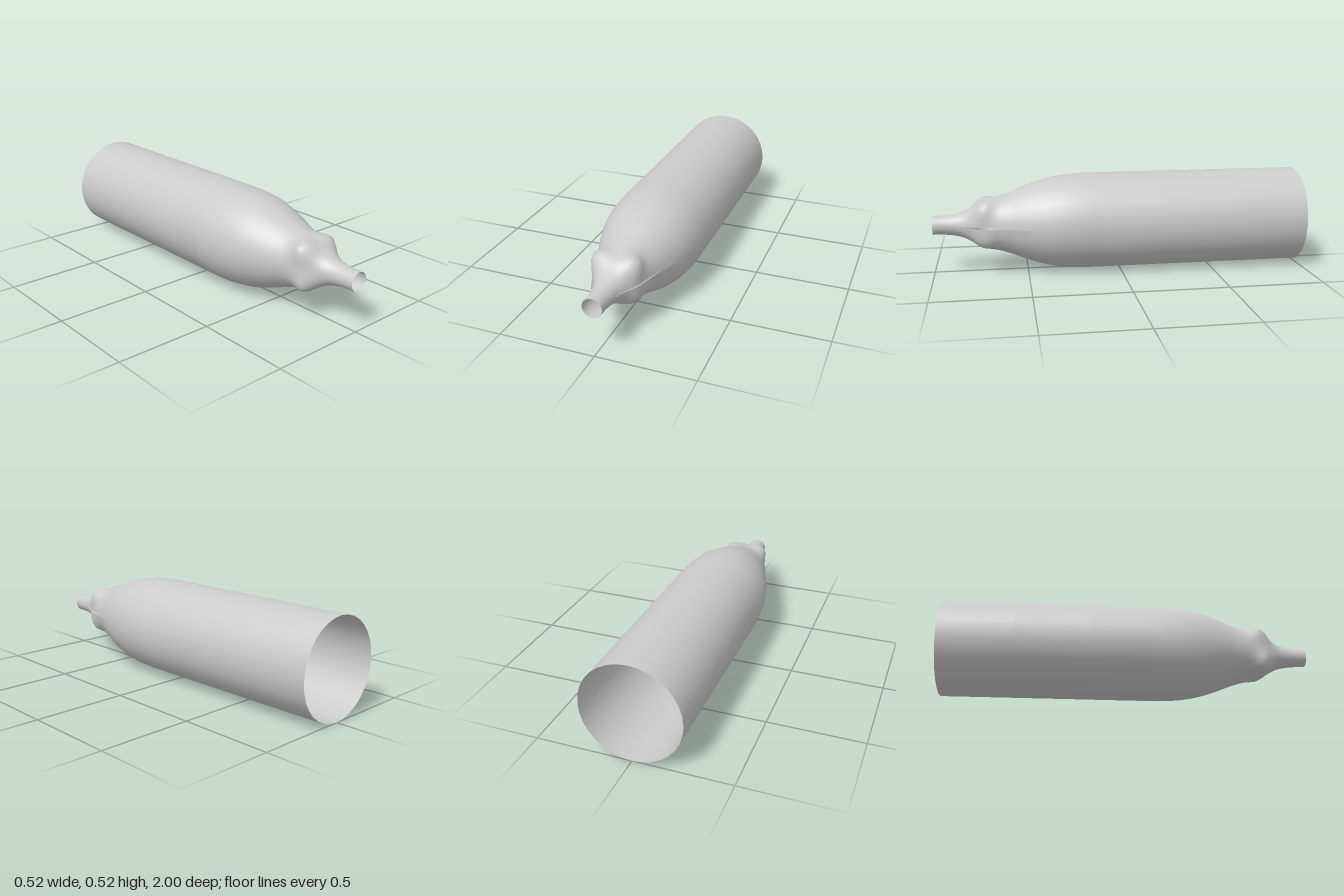
import * as THREE from 'three';
import { mergeVertices } from 'three/addons/utils/BufferGeometryUtils.js';

const SEGMENTS = 32;
const bell = (d, width) => Math.exp(-((d / width) ** 2));

// [z, radius] along the body, from the open back to the mouth
const PROFILE = [
  [0.12, 0.26], [0.2, 0.259], [0.3, 0.252], [0.4, 0.234], [0.5, 0.202], [0.6, 0.163],
  [0.7, 0.132], [0.76, 0.113], [0.8, 0.09], [0.85, 0.067], [0.9, 0.056], [0.95, 0.051], [1, 0.05],
];

// four soft shoulder lumps around the neck: angle in degrees, z, height
const LUMPS = [
  [48, 0.73, 0.036], [133, 0.73, 0.042], [220, 0.75, 0.036], [316, 0.73, 0.022],
];

function createShell() {
  const curve = new THREE.CatmullRomCurve3(PROFILE.map(([z, r]) => new THREE.Vector3(r, z, 0)));
  const points = [-1, -0.6, -0.2].map((z) => new THREE.Vector2(0.26, z));
  for (const p of curve.getPoints(60)) points.push(new THREE.Vector2(p.x, p.y));

  // the seam lies on the left side (+x)
  const geometry = new THREE.LatheGeometry(points, SEGMENTS, Math.PI / 2);
  geometry.rotateX(Math.PI / 2);
  const pos = geometry.attributes.position;
  const rows = points.length;
  for (let i = 0; i < pos.count; i++) {
    const column = Math.floor(i / rows);
    const { x: radius, y: z } = points[i % rows];
    const angle = ((column % SEGMENTS) / SEGMENTS) * Math.PI * 2;
    let r = radius;
    for (const [degrees, lumpZ, height] of LUMPS) {
      const d = angle - THREE.MathUtils.degToRad(degrees);
      r += height * bell(Math.atan2(Math.sin(d), Math.cos(d)), 0.42) * bell(z - lumpZ, 0.055);
    }
    // narrow slit, open only along the neck
    let gap = 0;
    if (z > 0.45 && z < 0.87) gap = 0.004 * bell(z - 0.74, 0.12);
    const side = column === 0 ? 1 : column === SEGMENTS ? -1 : 0;
    pos.setXYZ(i, r * Math.cos(angle), r * Math.sin(angle) + side * gap, z);
  }

  // weld the closed part of the seam
  geometry.deleteAttribute('uv');
  geometry.deleteAttribute('normal');
  const welded = mergeVertices(geometry, 1e-4);
  welded.computeVertexNormals();
  return welded;
}

export function createModel() {
  const group = new THREE.Group();
  group.name = 'neckedCartridge';
  const material = new THREE.MeshStandardMaterial({ color: 0xcccccc, side: THREE.DoubleSide });
  const shell = new THREE.Mesh(createShell(), material);
  shell.name = 'shell';
  shell.position.y = 0.262;
  group.add(shell);
  return group;
}
